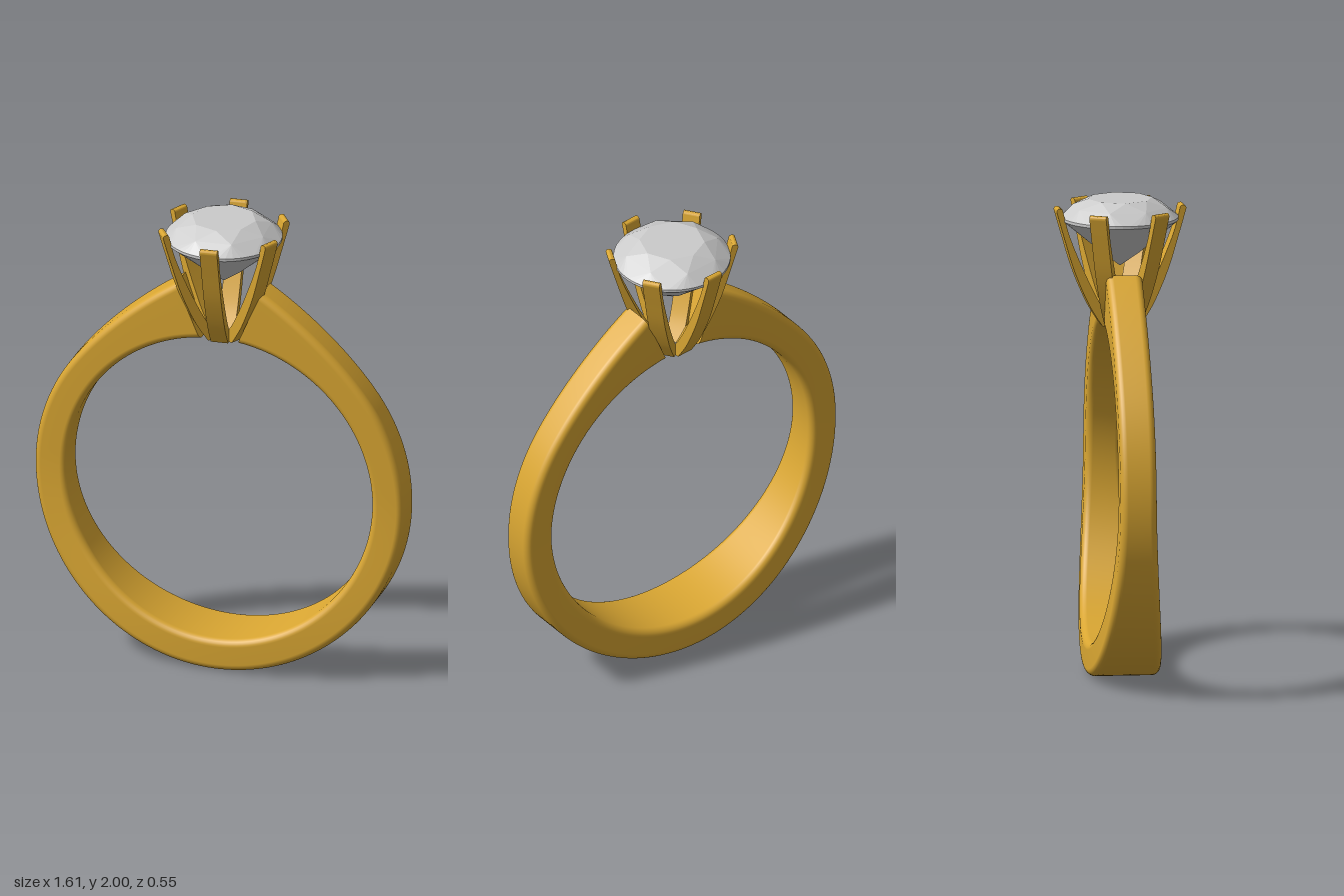
import * as THREE from 'three';
import { toCreasedNormals } from 'three/addons/utils/BufferGeometryUtils.js';
import { ConvexGeometry } from 'three/addons/geometries/ConvexGeometry.js';

const gold = new THREE.MeshStandardMaterial({ color: 0xd9a632 });
const grey = new THREE.MeshStandardMaterial({ color: 0xcccccc, flatShading: true });
const rad = THREE.MathUtils.degToRad;
const CY = 0.805; // height of the finger hole's centre

// Rounded-rectangle section of the band; s runs from -1 to 1, with 0 at the bottom
function bandSection(s) {
  const a = rad(173 * s), bDeg = 168.5 * Math.abs(s), b = rad(168.5 * s);
  const rise = Math.max(0, (bDeg - 125) / 43.5);
  const ro = 0.805 + 0.115 * rise ** 2.3;
  const inner = new THREE.Vector2(Math.sin(a) * 0.665, CY - Math.cos(a) * 0.665);
  const outer = new THREE.Vector2(Math.sin(b) * ro, CY - Math.cos(b) * ro);
  const thick = inner.distanceTo(outer);
  const midY = (inner.y + outer.y) / 2;
  const half = 0.075 + 0.078 * Math.max(0, (0.85 - midY) / 0.8) ** 1.8;
  const r = 0.03, points = [];
  const corners = [[1, 1], [-1, 1], [-1, 0], [1, 0]];
  corners.forEach(([side, out], k) => {
    for (let i = 0; i <= 6; i++) {
      const t = (k + i / 6) * Math.PI / 2;
      const z = side * (half - r) + r * Math.cos(t);
      const v = (out ? thick - r : r) + r * Math.sin(t);
      const p = inner.clone().lerp(outer, v / thick);
      points.push([p.x, p.y, z]);
    }
  });
  return points;
}

function bandGeometry() {
  const steps = 160, pos = [], index = [];
  let n = 0;
  for (let i = 0; i <= steps; i++) {
    const ring = bandSection(-1 + 2 * i / steps);
    n = ring.length;
    pos.push(...ring.flat());
  }
  for (let i = 0; i < steps; i++) {
    for (let j = 0; j < n; j++) {
      const a = i * n + j, b = i * n + (j + 1) % n;
      index.push(a, b, a + n, b, b + n, a + n);
    }
  }
  // flat ends against the head
  for (const s of [-1, 1]) {
    const base = pos.length / 3;
    pos.push(...bandSection(s).flat());
    for (let j = 1; j < n - 1; j++) {
      if (s > 0) index.push(base, base + j, base + j + 1);
      else index.push(base, base + j + 1, base + j);
    }
  }
  const g = new THREE.BufferGeometry();
  g.setAttribute('position', new THREE.Float32BufferAttribute(pos, 3));
  g.setIndex(index);
  g.computeVertexNormals();
  return g;
}

// Curved claw: side profile (radius, height) extruded to its width
function prongGeometry() {
  const v = (x, y) => new THREE.Vector2(x, y);
  const shape = new THREE.Shape();
  shape.moveTo(0.02, 1.467);
  shape.lineTo(0.08, 1.467);
  shape.splineThru([v(0.137, 1.56), v(0.197, 1.7), v(0.243, 1.85), v(0.273, 1.955)]);
  shape.quadraticCurveTo(0.272, 1.968, 0.26, 1.968);
  shape.quadraticCurveTo(0.247, 1.968, 0.246, 1.955);
  shape.splineThru([v(0.218, 1.85), v(0.157, 1.7), v(0.088, 1.56), v(0.02, 1.467)]);
  const width = 0.074;
  const g = new THREE.ExtrudeGeometry(shape, { depth: width, bevelEnabled: false, curveSegments: 8 });
  g.translate(0, 0, -width / 2);
  return toCreasedNormals(g, 0.6);
}

// Round brilliant cut: table, crown, girdle, pavilion and point
function gemGeometry() {
  const pts = [];
  const ring = (r, y, count, turn = 0) => {
    for (let i = 0; i < count; i++) {
      const t = (i + turn) / count * Math.PI * 2;
      pts.push(new THREE.Vector3(r * Math.cos(t), y, r * Math.sin(t)));
    }
  };
  ring(0.135, 2.0, 8);
  ring(0.2, 1.967, 8, 0.5);
  ring(0.243, 1.923, 48);
  ring(0.243, 1.911, 48);
  ring(0.085, 1.776, 8, 0.5);
  pts.push(new THREE.Vector3(0, 1.715, 0));
  return new ConvexGeometry(pts);
}

export function createModel() {
  const group = new THREE.Group();
  group.name = 'ring';
  const add = (name, geometry, material, parent = group) => {
    const mesh = new THREE.Mesh(geometry, material);
    mesh.name = name;
    parent.add(mesh);
    return mesh;
  };

  add('band', bandGeometry(), gold);

  // six claws around the stone
  const head = new THREE.Group();
  head.name = 'prongs';
  group.add(head);
  const claw = prongGeometry();
  for (let i = 0; i < 6; i++) {
    add('prong', claw, gold, head).rotation.y = -rad(25.5 + 60 * i);
  }

  add('gemstone', gemGeometry(), grey).rotation.y = rad(4.5);
  return group;
}
